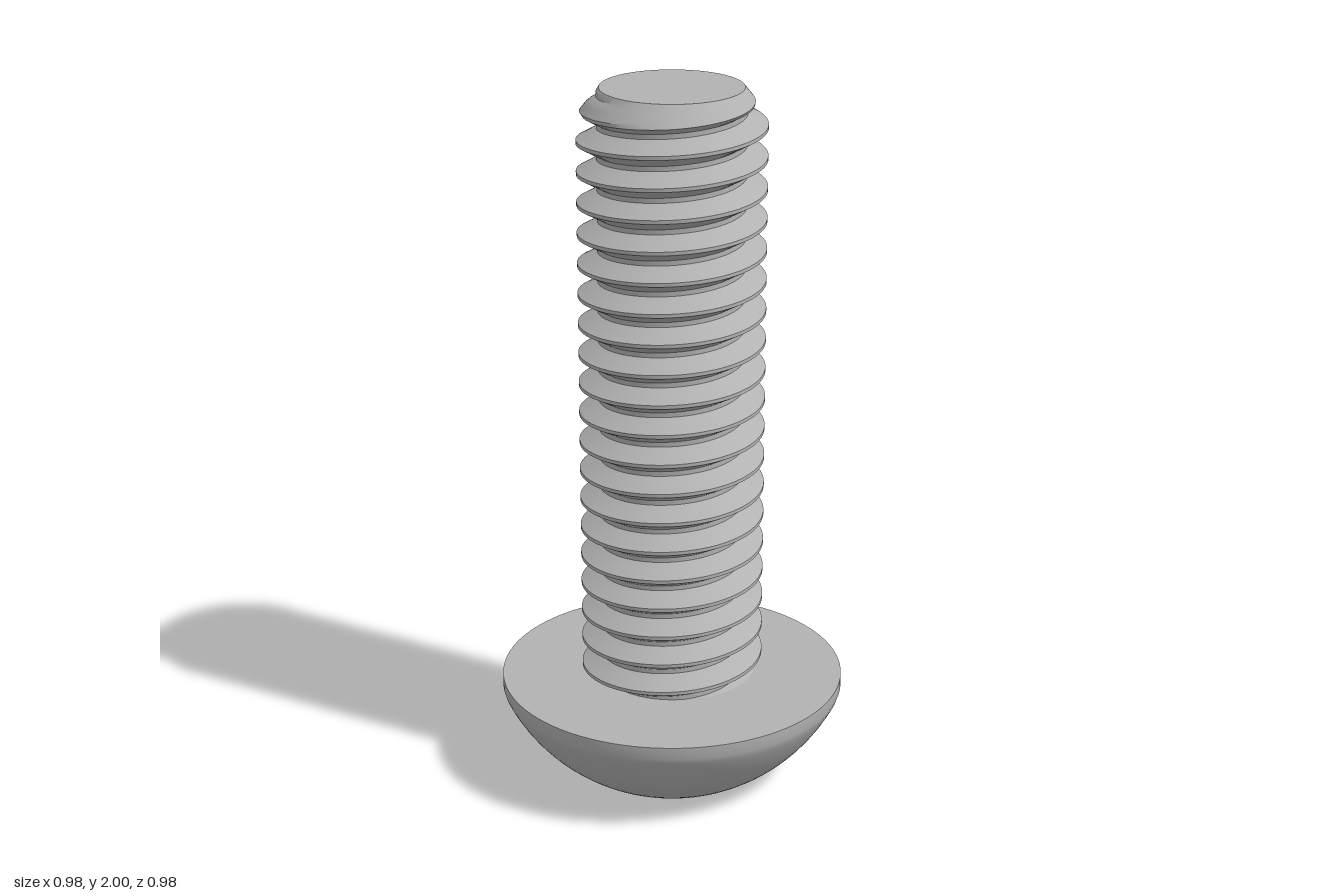
import * as THREE from 'three';
import { toCreasedNormals } from 'three/addons/utils/BufferGeometryUtils.js';

const HEAD_R = 0.488, HEAD_TOP = 0.285, FACE_R = 0.26, TOP = 2;
const CREST_R = 0.258, ROOT_R = 0.203, PITCH = 0.0857, CREST_Y = 1.72;

// Thread radius for a fraction of one turn, crest at 0 and root at 0.5
function threadRadius(t) {
  const d = Math.abs(t - Math.round(t));
  const k = THREE.MathUtils.clamp((d - 0.06) / 0.36, 0, 1);
  return CREST_R + (ROOT_R - CREST_R) * k;
}

// Helical surface whose rows follow the thread, trimmed flat at both ends
function threadGeometry(bottom, top) {
  const segs = 96, steps = [0, 0.06, 0.18, 0.3, 0.42, 0.58, 0.7, 0.82, 0.94];
  const rows = [];
  const first = Math.floor((bottom - CREST_Y) / PITCH) - 2;
  const last = Math.ceil((top - CREST_Y) / PITCH) + 1;
  for (let k = first; k <= last; k++) for (const s of steps) rows.push(k + s);

  const point = (row, i) => {
    const turn = i / segs, a = turn * Math.PI * 2;
    const y = THREE.MathUtils.clamp(CREST_Y + (row + turn) * PITCH, bottom, top);
    const chamfer = 0.195 + (TOP - y) * 0.8;
    const r = Math.min(threadRadius((y - CREST_Y) / PITCH - turn), chamfer);
    return new THREE.Vector3(r * Math.cos(a), y, -r * Math.sin(a));
  };
  const pos = [], tri = new THREE.Triangle();
  const add = (a, b, c) => {
    if (tri.set(a, b, c).getArea() < 1e-9) return;
    for (const p of [a, b, c]) pos.push(p.x, p.y, p.z);
  };
  for (let j = 0; j < rows.length - 1; j++) {
    for (let i = 0; i < segs; i++) {
      const a = point(rows[j], i), b = point(rows[j], i + 1);
      const c = point(rows[j + 1], i + 1), d = point(rows[j + 1], i);
      add(a, b, c);
      add(a, c, d);
    }
  }
  const g = new THREE.BufferGeometry();
  g.setAttribute('position', new THREE.Float32BufferAttribute(pos, 3));
  return toCreasedNormals(g, 0.5);
}

// Six-lobed outline of the drive socket
function lobePoints() {
  const pts = [];
  for (let i = 0; i < 120; i++) {
    const a = (i / 120) * Math.PI * 2;
    const r = 0.207 - 0.04 * Math.cos(6 * a);
    pts.push(new THREE.Vector2(r * Math.cos(a), r * Math.sin(a)));
  }
  return pts;
}

export function createModel() {
  const group = new THREE.Group();
  const steel = new THREE.MeshStandardMaterial({ color: 0xb2b2b2 });
  steel.name = 'steel grey';
  const add = (name, geometry) => {
    const mesh = new THREE.Mesh(geometry, steel);
    mesh.name = name;
    group.add(mesh);
    return mesh;
  };

  // Domed head: spherical underside, short rim and flat shoulder
  const centreY = 0.47, radius = Math.hypot(FACE_R, centreY);
  const profile = [];
  for (let i = 0; i <= 16; i++) {
    const y = 0.25 * i / 16;
    profile.push(new THREE.Vector2(Math.min(HEAD_R, Math.sqrt(radius ** 2 - (centreY - y) ** 2)), y));
  }
  profile.push(new THREE.Vector2(HEAD_R, HEAD_TOP), new THREE.Vector2(0.15, HEAD_TOP));
  add('head', toCreasedNormals(new THREE.LatheGeometry(profile, 96), 0.5));

  // Flat drive face with the socket walls
  const depth = 0.16, lobes = lobePoints();
  const face = new THREE.Shape().absarc(0, 0, FACE_R, 0, Math.PI * 2);
  face.holes.push(new THREE.Path(lobes));
  const faceGeometry = new THREE.ExtrudeGeometry(face, { depth, bevelEnabled: false, curveSegments: 48 });
  faceGeometry.rotateX(-Math.PI / 2);
  add('driveSocket', toCreasedNormals(faceGeometry, 0.5));

  // Socket floor, facing down
  const floor = new THREE.ShapeGeometry(new THREE.Shape(lobes));
  floor.rotateX(Math.PI / 2);
  add('socketFloor', floor).position.y = depth;

  // Threaded shank and its flat tip
  add('threadedShank', threadGeometry(HEAD_TOP - 0.01, TOP));
  const tip = new THREE.CircleGeometry(0.195, 96);
  tip.rotateX(-Math.PI / 2);
  add('shankTip', tip).position.y = TOP;

  return group;
}
